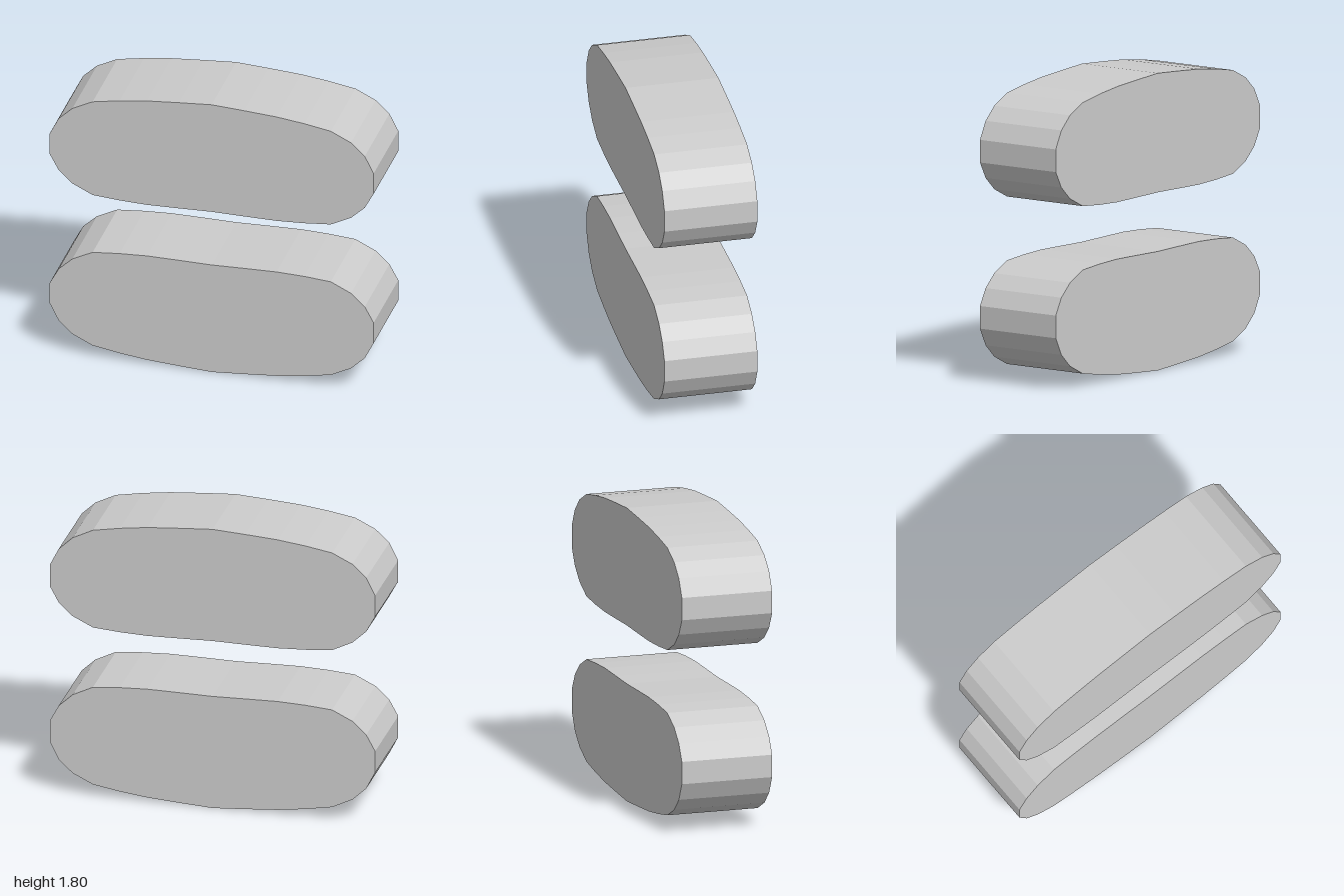
import * as THREE from 'three';

const HEIGHT = 1.798;
const DEPTH = 0.57;

// Right half of the lower pad's outline, from bottom centre to top centre
const HALF = [
  [0, 0], [0.2, 0.013], [0.4, 0.028], [0.57, 0.05], [0.735, 0.079],
  [0.86, 0.14], [0.945, 0.22], [1, 0.328], [1, 0.465], [0.945, 0.566],
  [0.86, 0.645], [0.735, 0.706], [0.57, 0.72], [0.4, 0.727], [0.2, 0.724], [0, 0.72],
];

function createPad(name, flipped, material) {
  // Mirror the half outline across x = 0 to close it
  const left = HALF.slice(1, -1).reverse().map(([x, y]) => [-x, y]);
  const outline = [...HALF, ...left].map(
    ([x, y]) => new THREE.Vector2(x, flipped ? HEIGHT - y : y));
  const geometry = new THREE.ExtrudeGeometry(new THREE.Shape(outline), {
    depth: DEPTH, bevelEnabled: false,
  });
  geometry.translate(0, 0, -DEPTH / 2);
  const mesh = new THREE.Mesh(geometry, material);
  mesh.name = name;
  return mesh;
}

export function createModel() {
  const group = new THREE.Group();
  group.name = 'paddedBlocks';
  const material = new THREE.MeshStandardMaterial({ color: 0xcccccc, flatShading: true });

  // Two rounded pads facing each other across a gap
  group.add(createPad('lowerPad', false, material));
  group.add(createPad('upperPad', true, material));
  return group;
}
